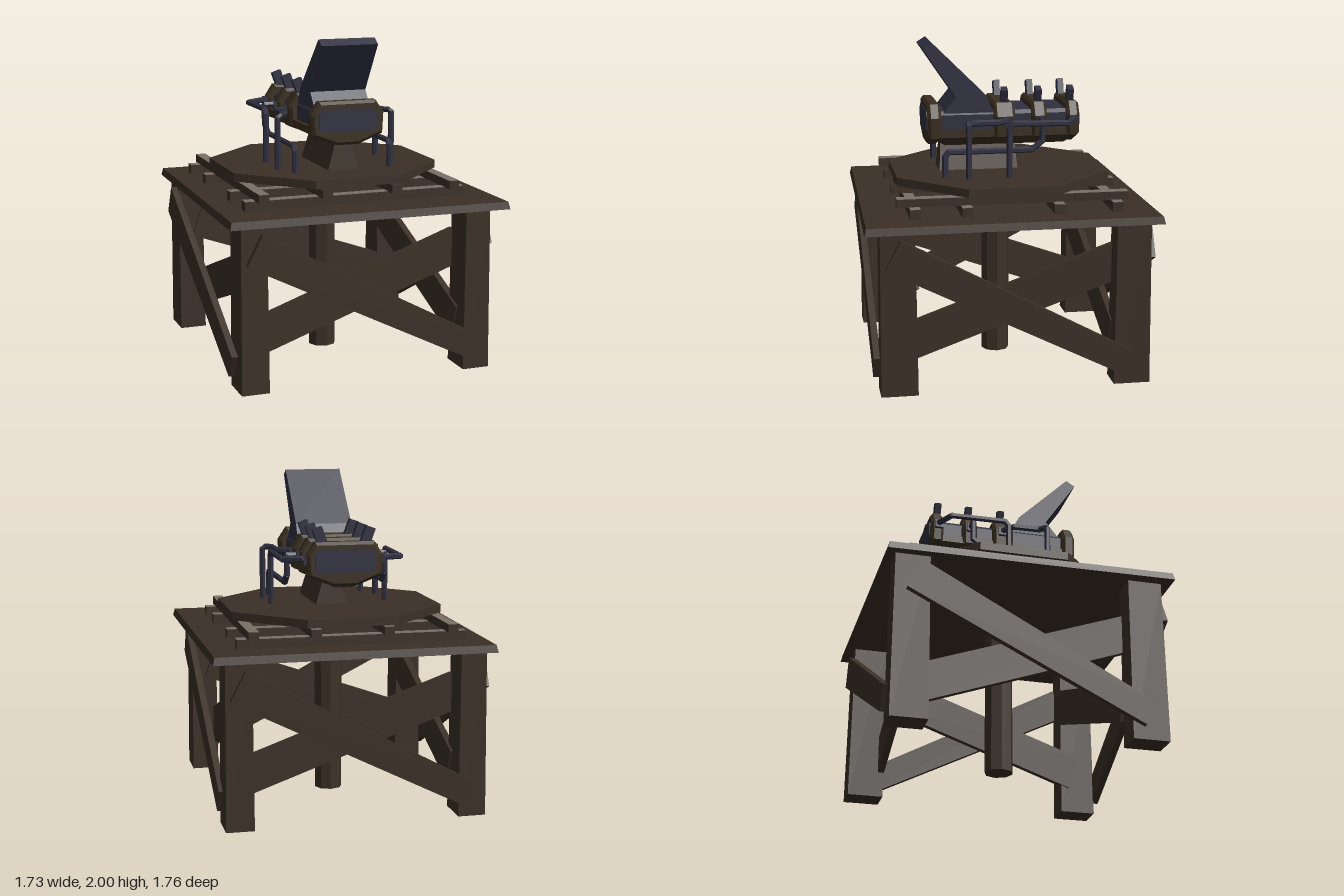
import * as THREE from 'three';

const mat = (name, color, side = THREE.FrontSide) => {
  const m = new THREE.MeshStandardMaterial({ color, side, flatShading: true });
  m.name = name;
  return m;
};

export function createModel() {
  const root = new THREE.Group();
  const wood = mat('dark wood', 0x3b3026);
  const casing = mat('olive brown casing', 0x3a2f20);
  const steel = mat('blue steel', 0x303042);
  const worn = mat('worn grey', 0x7b7067);

  const add = (name, geo, material, x = 0, y = 0, z = 0, parent = root) => {
    const m = new THREE.Mesh(geo, material);
    m.name = name;
    m.position.set(x, y, z);
    parent.add(m);
    return m;
  };
  const box = (name, material, x, y, z, w, h, d, parent = root) =>
    add(name, new THREE.BoxGeometry(w, h, d), material, x, y, z, parent);
  const shapeOf = pts => new THREE.Shape(pts.map(p => new THREE.Vector2(p[0], p[1])));
  const reshape = (geo, rule) => {
    const p = geo.attributes.position, v = new THREE.Vector3();
    for (let i = 0; i < p.count; i++) {
      rule(v.fromBufferAttribute(p, i));
      p.setXYZ(i, v.x, v.y, v.z);
    }
    geo.computeVertexNormals();
    return geo;
  };
  // closes a right-hand half profile into a symmetric outline
  const mirrored = half => [...half, ...half.map(([x, y]) => [-x, y]).reverse()];
  // cross-section in x/y, extruded from z0 to z1 with optional chamfer
  const section = (pts, z0, z1, bevel = 0) => {
    const g = new THREE.ExtrudeGeometry(shapeOf(pts), {
      depth: z1 - z0 - 2 * bevel, bevelEnabled: bevel > 0, bevelThickness: bevel,
      bevelSize: bevel, bevelOffset: -bevel, bevelSegments: 1 });
    return g.translate(0, 0, z0 + bevel);
  };

  // Table top, slightly out of square, wider at its underside
  const corners = [[-0.85, -0.835], [0.855, -0.865], [0.845, 0.875], [-0.825, 0.865]];
  const top = new THREE.ExtrudeGeometry(shapeOf(corners), { depth: 0.045, bevelEnabled: false });
  reshape(top, v => { if (v.z < 0.01) { v.x *= 1.012; v.y *= 1.012; } });
  add('tableTop', top.rotateX(-Math.PI / 2), wood, 0, 0.998, 0);

  // Legs and centre post
  for (const x of [-0.703, 0.7]) for (const z of [0.68, -0.72]) {
    const g = new THREE.BoxGeometry(0.168, 1, 0.22);
    reshape(g, v => { if (v.y > 0) { v.x *= 0.93; v.z *= 0.93; } });
    add('leg', g, wood, x, 0.5, z);
  }
  add('centrePost', new THREE.CylinderGeometry(0.087, 0.087, 1.16, 8), wood, -0.007, 0.58, -0.015);

  // Crossed planks on all four sides
  const plank = (parent, a, b, wa, wb, z, t) => {
    const dx = b[0] - a[0], dy = b[1] - a[1];
    const g = new THREE.BoxGeometry(Math.hypot(dx, dy), 1, t);
    reshape(g, v => { v.y *= v.x < 0 ? wa : wb; });
    const m = add('plank', g, wood, (a[0] + b[0]) / 2, (a[1] + b[1]) / 2, z, parent);
    m.rotation.z = Math.atan2(dy, dx);
  };
  [[0.805, 0.57], [0.787, 0.625], [0.837, 0.625], [0.803, 0.625]].forEach(([outer, inner], i) => {
    const side = new THREE.Group();
    side.name = 'sideBracing';
    side.rotation.y = i * Math.PI / 2;
    plank(side, [-0.71, 0.862], [0.675, 0.145], 0.2, 0.155, outer, 0.04);
    plank(side, [-0.66, 0.265], [0.66, 0.735], 0.225, 0.225, inner, 0.04);
    root.add(side);
  });

  // Grid of bars under the turntable, with worn upper faces
  for (const z of [0.565, 0.26, -0.29, -0.64]) {
    box('crossBar', wood, -0.007, 1.07, z, 1.385, 0.06, 0.062);
    box('crossBarWear', worn, -0.007, 1.101, z, 1.385, 0.003, 0.062);
  }
  for (const x of [-0.605, -0.217, 0.222, 0.592]) {
    const outer = Math.abs(x) > 0.5;
    box('longBar', wood, x, 1.125, -0.025, 0.062, 0.05, 1.385);
    box('longBarWear', worn, x, 1.1505, outer ? -0.025 : -0.365, 0.062, 0.003, outer ? 1.385 : 0.705);
  }

  // Octagonal turntable
  const disc = new THREE.CylinderGeometry(0.709, 0.709, 0.05, 8).rotateY(Math.PI / 8);
  add('turntable', disc, wood, -0.004, 1.177, -0.025);

  // Tapered pedestal
  const pedestal = new THREE.BoxGeometry(0.2, 0.17, 0.49);
  reshape(pedestal, v => { if (v.y > 0) { v.x *= 0.5; v.z *= 0.95; } });
  add('pedestal', pedestal, wood, 0, 1.28, 0.105);

  // Hull with a keel that is shorter at the bottom
  const hull = section(mirrored([[0.055, 1.35], [0.21, 1.425], [0.21, 1.47]]), -0.48, 0.41);
  reshape(hull, v => { if (v.y < 1.38) v.z = v.z > 0 ? 0.31 : -0.44; });
  add('hull', hull, casing);
  add('barrelBlock', section(mirrored([[0.185, 1.44], [0.185, 1.56], [0.165, 1.582]]), -0.48, 0.41), steel);

  // Chamfered collars around the hull
  const collar = mirrored([[0.07, 1.365], [0.225, 1.425], [0.232, 1.55], [0.18, 1.63]]);
  for (const [z0, z1] of [[0.35, 0.432], [-0.105, 0.025], [-0.302, -0.208], [-0.505, -0.425]])
    add('collar', section(collar, z0, z1, 0.018), casing);
  const facePlate = mirrored([[0.165, 1.445], [0.185, 1.47], [0.185, 1.555], [0.16, 1.582]]);
  add('frontPlate', section(facePlate, 0.43, 0.437), steel);
  add('backPlate', section(facePlate, -0.51, -0.503), steel);

  // Lugs leaning outwards on the rear collars
  for (const z of [-0.045, -0.255, -0.455]) for (const s of [-1, 1])
    box('lug', steel, s * 0.145, 1.66, z, 0.06, 0.11, 0.038).rotation.z = -s * 0.35;

  // Slanted shield with a flared foot, drawn in z/y and extruded along x
  const shield = section([[-0.455, 1.965], [-0.40, 2.0], [-0.075, 1.68], [-0.02, 1.57],
    [-0.335, 1.57], [-0.255, 1.67]].reverse(), -0.178, 0.178);
  add('shield', shield.rotateY(Math.PI / 2), steel);

  // Bent pipes running from the collars down to the turntable
  const pipes = [
    [[0.19, 1.53, -0.46], [0.25, 1.53, -0.46], [0.363, 1.525, -0.405], [0.365, 1.53, -0.065], [0.365, 1.5, -0.043], [0.365, 1.2, -0.043]],
    [[0.19, 1.53, -0.255], [0.305, 1.53, -0.255], [0.305, 1.41, -0.255], [0.305, 1.357, -0.19],
      [0.305, 1.357, 0.32], [0.305, 1.33, 0.34], [0.305, 1.2, 0.34]],
    [[0.19, 1.53, -0.05], [0.24, 1.53, -0.05], [0.31, 1.53, 0.005], [0.315, 1.53, 0.165], [0.35, 1.53, 0.203], [0.37, 1.515, 0.205], [0.37, 1.2, 0.205]],
  ];
  const up = new THREE.Vector3(0, 1, 0);
  for (const s of [-1, 1]) for (const path of pipes) {
    const pipe = new THREE.Group();
    pipe.name = 'pipe';
    const pts = path.map(([x, y, z]) => new THREE.Vector3(s * x, y, z));
    for (let i = 1; i < pts.length; i++) {
      const d = pts[i].clone().sub(pts[i - 1]);
      const m = add('pipeRun', new THREE.CylinderGeometry(0.019, 0.019, d.length() + 0.012, 6), steel, 0, 0, 0, pipe);
      m.position.copy(pts[i]).add(pts[i - 1]).multiplyScalar(0.5);
      m.quaternion.setFromUnitVectors(up, d.normalize());
    }
    root.add(pipe);
    // socket where the pipe meets its collar
    box('pipeSocket', steel, s * 0.235, 1.525, path[0][2], 0.03, 0.05, 0.05);
  }
  return root;
}
